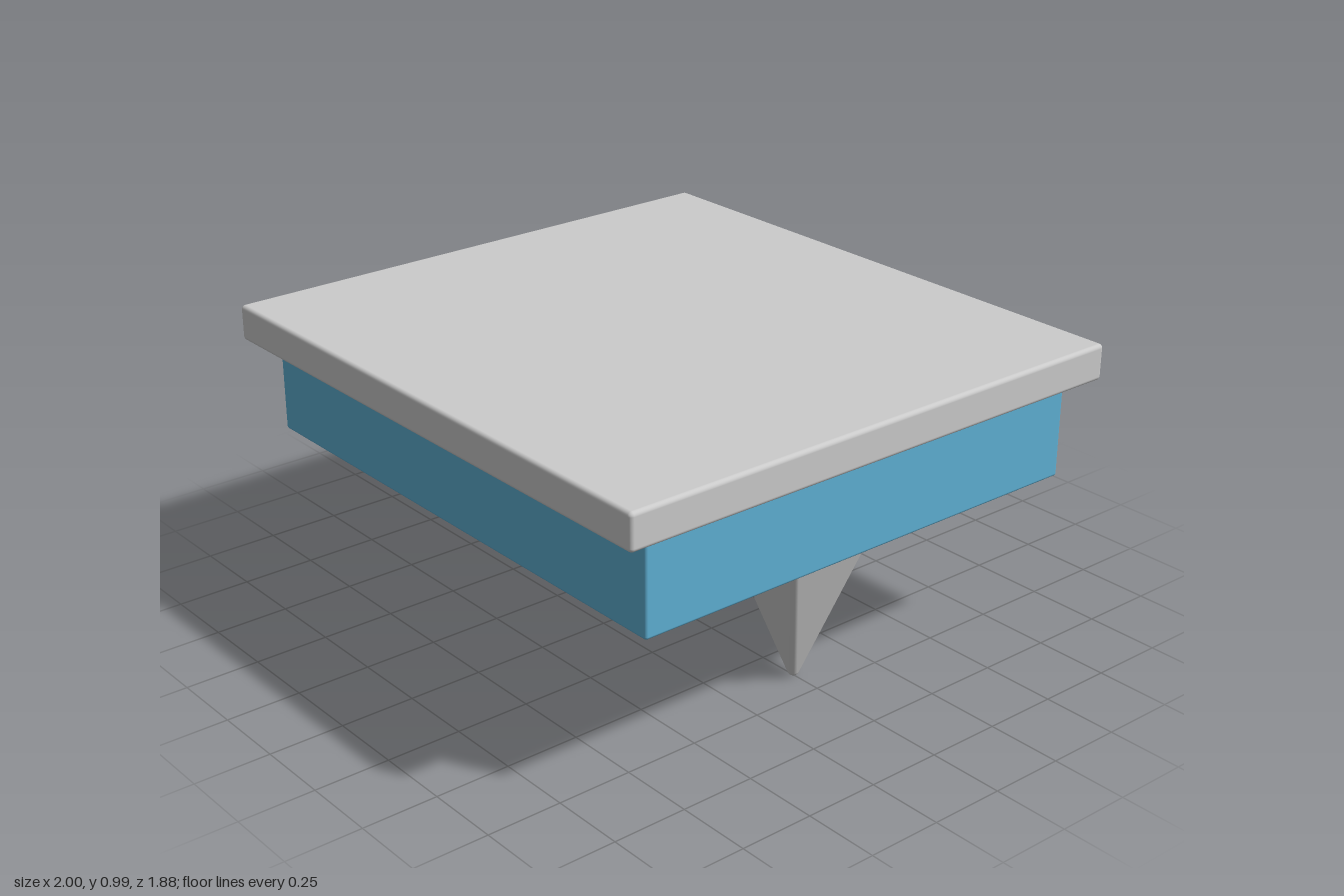
import * as THREE from 'three';
import { RoundedBoxGeometry } from 'three/addons/geometries/RoundedBoxGeometry.js';

const grey = new THREE.MeshStandardMaterial({ color: 0xcccccc });
const blue = new THREE.MeshStandardMaterial({ color: 0x5fb0d4 });

// Softly rounded slab resting on height y0
function slab(name, width, y0, y1, depth, radius, material) {
  const mesh = new THREE.Mesh(new RoundedBoxGeometry(width, y1 - y0, depth, 4, radius), material);
  mesh.name = name;
  mesh.position.y = (y0 + y1) / 2;
  return mesh;
}

// Four-sided spike pointing down: rounded-square rings, ball-shaped tip
function spikeGeometry(height, halfWidth, radius) {
  const arc = 5, count = 4 * (arc + 1), positions = [], index = [];
  const lean = Math.atan((halfWidth - radius) / (height - radius));
  const rings = [];
  for (let i = 0; i <= 6; i++) {
    const phi = (i / 6) * (Math.PI / 2 - lean);
    const r = radius * Math.sin(phi);
    rings.push([radius * (1 - Math.cos(phi)), r, r]);
  }
  rings.push([height, halfWidth, radius]);

  for (const [y, half, r] of rings) {
    for (let corner = 0; corner < 4; corner++) {
      const mid = (corner + 0.5) * Math.PI / 2;
      const cx = Math.sign(Math.cos(mid)) * (half - r);
      const cz = Math.sign(Math.sin(mid)) * (half - r);
      for (let k = 0; k <= arc; k++) {
        const a = (corner + k / arc) * Math.PI / 2;
        positions.push(cx + r * Math.cos(a), y, cz + r * Math.sin(a));
      }
    }
  }
  for (let i = 0; i < rings.length - 1; i++) {
    for (let j = 0; j < count; j++) {
      const a = i * count + j, b = i * count + (j + 1) % count;
      const c = a + count, d = b + count;
      if (i > 0) index.push(a, c, b);
      index.push(b, c, d);
    }
  }
  // Flat cap with its own vertices, so the rim stays sharp
  const capStart = positions.length / 3;
  positions.push(...positions.slice(-count * 3));
  for (let j = 1; j < count - 1; j++) index.push(capStart, capStart + j + 1, capStart + j);

  const geometry = new THREE.BufferGeometry();
  geometry.setAttribute('position', new THREE.Float32BufferAttribute(positions, 3));
  geometry.setIndex(index);
  geometry.computeVertexNormals();
  return geometry;
}

export function createModel() {
  const model = new THREE.Group();
  model.name = 'spikedBlock';

  model.add(slab('topPlate', 2, 0.865, 0.985, 1.875, 0.014, grey));
  model.add(slab('body', 1.875, 0.545, 0.865, 1.675, 0.01, blue));

  // Row of three spikes under the body
  const geometry = spikeGeometry(0.555, 0.181, 0.02);
  ['rightSpike', 'middleSpike', 'leftSpike'].forEach((name, i) => {
    const spike = new THREE.Mesh(geometry, grey);
    spike.name = name;
    spike.position.x = (i - 1) * 0.64;
    model.add(spike);
  });
  return model;
}
